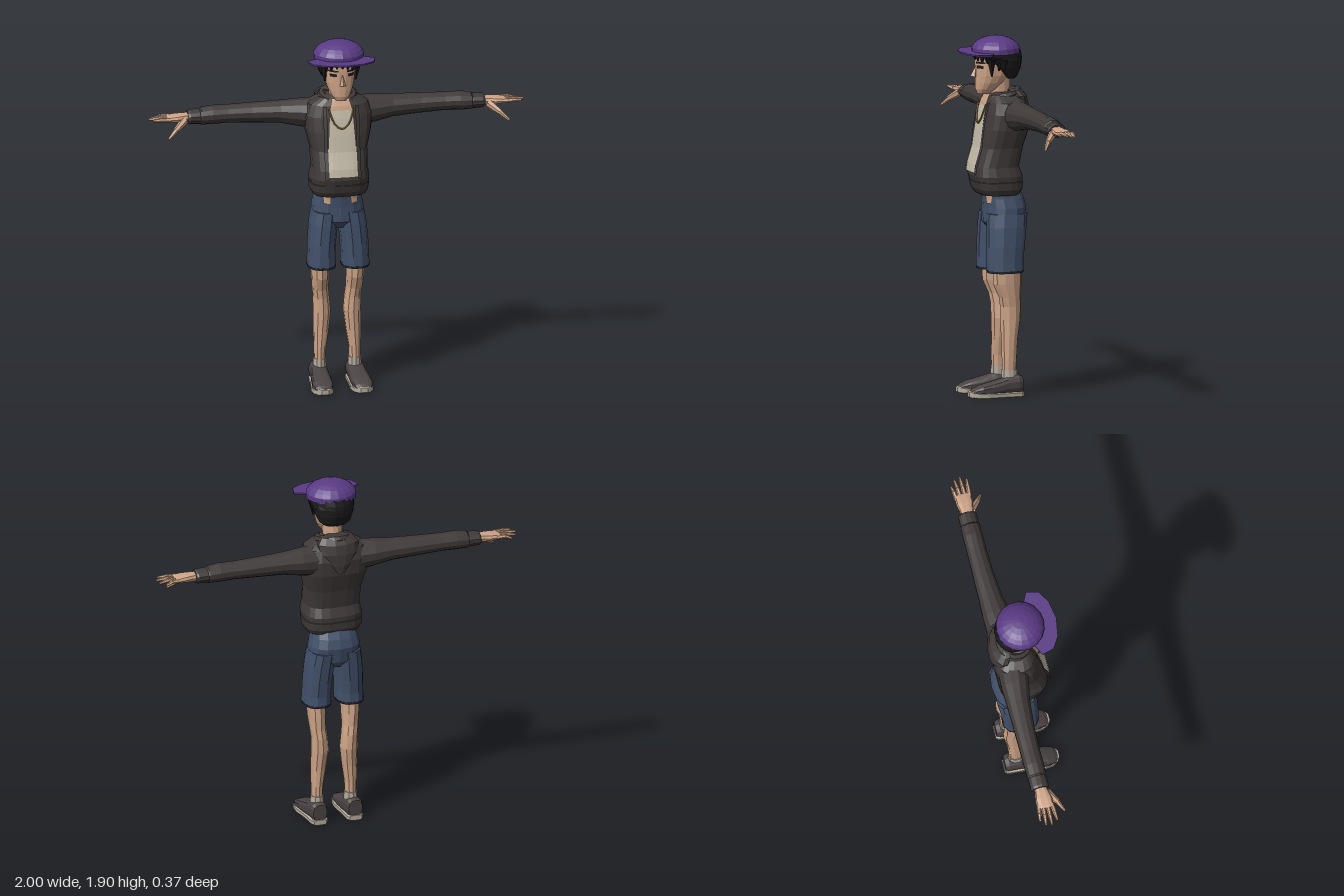
import * as THREE from 'three';

const mat = (name, color) => Object.assign(new THREE.MeshStandardMaterial({ color }), { name });
const M = {
  skin: mat('skin', 0xcda386), hair: mat('black hair', 0x1b1b1c), cap: mat('purple cap', 0x5a3a85),
  jacket: mat('charcoal jacket', 0x3f3938), shirt: mat('cream shirt', 0xc4bba8), denim: mat('blue denim', 0x42506a),
  hem: mat('dark denim', 0x262d3a), gold: mat('gold', 0x8f7028), shoe: mat('dark shoe', 0x4a4243), sole: mat('pale sole', 0xb3aa9b),
};

// Faceted mesh added to a parent
function add(parent, name, geo, material) {
  const g = geo.index ? geo.toNonIndexed() : geo;
  g.computeVertexNormals();
  const m = new THREE.Mesh(g, material);
  m.name = name;
  parent.add(m);
  return m;
}

// Closed loft of superellipse rings along an axis; ring = [t, centreA, centreB, radiusA, radiusB]
function loft(axis, rings, { seg = 12, n = 2, s = 1 } = {}) {
  const place = (t, a, b) => {
    const p = axis === 'y' ? [a, t, b] : axis === 'x' ? [t, a, b] : [a, b, t];
    return new THREE.Vector3(p[0] * s, p[1], p[2]);
  };
  const pw = v => Math.sign(v) * Math.pow(Math.abs(v), 2 / n);
  const pts = rings.map(([t, a, b, ra, rb]) => Array.from({ length: seg }, (_, i) => {
    const q = (i + 0.5) / seg * Math.PI * 2;
    return place(t, a + ra * pw(Math.cos(q)), b + rb * pw(Math.sin(q)));
  }));
  const tris = [];
  const first = rings[0], last = rings[rings.length - 1];
  const c0 = place(first[0], first[1], first[2]), c1 = place(last[0], last[1], last[2]);
  for (let i = 0; i < seg; i++) {
    const j = (i + 1) % seg;
    tris.push([c0, pts[0][i], pts[0][j]], [c1, pts[pts.length - 1][j], pts[pts.length - 1][i]]);
    for (let k = 0; k + 1 < pts.length; k++) {
      const [A, B] = [pts[k], pts[k + 1]];
      tris.push([A[i], B[i], B[j]], [A[i], B[j], A[j]]);
    }
  }
  // Turn the faces outward
  const o = pts[0][0], cr = new THREE.Vector3();
  let vol = 0;
  for (const [a, b, c] of tris) vol += cr.crossVectors(b.clone().sub(o), c.clone().sub(o)).dot(a.clone().sub(o));
  const flat = tris.flatMap(([a, b, c]) => (vol < 0 ? [a, c, b] : [a, b, c]));
  return new THREE.BufferGeometry().setFromPoints(flat);
}

// Front z of a vertical loft at (x, y)
function frontZ(rings, n, x, y) {
  let k = 0;
  while (k < rings.length - 2 && rings[k + 1][0] < y) k++;
  const f = (y - rings[k][0]) / (rings[k + 1][0] - rings[k][0]);
  const [, cx, cz, rx, rz] = rings[k].map((v, i) => v + (rings[k + 1][i] - v) * f);
  return cz + rz * Math.pow(Math.max(0, 1 - Math.pow(Math.abs((x - cx) / rx), n)), 1 / n);
}

// Thin panel lying on the front of a loft
function patch(rings, n, cx, wBottom, wTop, y0, y1, off) {
  const g = new THREE.PlaneGeometry(2, 1, 6, 8), p = g.attributes.position;
  for (let i = 0; i < p.count; i++) {
    const v = p.getY(i) + 0.5, x = cx + p.getX(i) * (wBottom + (wTop - wBottom) * v), y = y0 + (y1 - y0) * v;
    p.setXYZ(i, x, y, frontZ(rings, n, x, y) + off);
  }
  return g;
}

// Tapered rod between two points
function rod(a, b, ra, rb, sides = 6) {
  const A = new THREE.Vector3(...a), B = new THREE.Vector3(...b), d = B.clone().sub(A);
  const g = new THREE.CylinderGeometry(rb, ra, d.length(), sides);
  g.applyQuaternion(new THREE.Quaternion().setFromUnitVectors(new THREE.Vector3(0, 1, 0), d.normalize()));
  return g.translate(...A.add(B).multiplyScalar(0.5).toArray());
}

const TORSO = [[1.07, 0, -.02, .135, .1], [1.1, 0, -.02, .15, .12], [1.17, 0, -.012, .157, .132], [1.22, 0, -.005, .147, .12],
  [1.32, 0, -.03, .15, .115], [1.42, 0, -.052, .175, .122], [1.5, 0, -.062, .18, .117], [1.56, 0, -.06, .16, .1],
  [1.595, 0, -.05, .1, .075], [1.61, 0, -.05, .06, .055]];
const HEAD = [[1.6, 0, .052, .03, .033], [1.625, 0, .037, .05, .057], [1.66, 0, .018, .067, .077], [1.7, 0, .003, .079, .092],
  [1.76, 0, -.008, .085, .104], [1.83, 0, -.015, .09, .11]];
const PELVIS = [[.88, 0, -.05, .07, .07], [.92, 0, -.052, .142, .105], [1.0, 0, -.06, .136, .112], [1.05, 0, -.052, .124, .107],
  [1.1, 0, -.035, .115, .1]];

function buildHead(root) {
  const head = new THREE.Group();
  head.name = 'head';
  root.add(head);
  add(head, 'face', loft('y', HEAD, { seg: 16, n: 2.3 }), M.skin);
  add(head, 'neck', loft('y', [[1.54, 0, -.045, .06, .065], [1.6, 0, -.035, .05, .06], [1.69, 0, -.03, .052, .06]]), M.skin);
  const nose = new THREE.ConeGeometry(.02, .065, 4).scale(.8, 1, 1).rotateX(-.2);
  add(head, 'nose', nose.translate(0, 1.722, .098), M.skin);
  for (const s of [1, -1]) {
    add(head, 'eye', patch(HEAD, 2.3, s * .047, .016, .018, 1.738, 1.754, .005), M.hair);
    add(head, 'eyebrow', patch(HEAD, 2.3, s * .047, .024, .024, 1.764, 1.773, .006), M.hair);
    add(head, 'sideburn', rod([s * .088, 1.79, .035], [s * .081, 1.7, .03], .022, .005, 5), M.hair);
  }
  // Hair mass with loose locks around the hairline
  add(head, 'hair', loft('y', [[1.68, 0, -.088, .06, .03], [1.7, 0, -.078, .086, .055], [1.74, 0, -.062, .104, .088],
    [1.78, 0, -.045, .114, .11], [1.8, 0, -.028, .116, .126], [1.83, 0, -.018, .12, .128]], { seg: 16 }), M.hair);
  for (let i = 0; i < 22; i++) {
    const q = i / 22 * Math.PI * 2, back = .5 - .5 * Math.cos(q), jag = (i % 3) * .006;
    const r = .105, x = Math.sin(q) * r, z = -.02 + Math.cos(q) * .115;
    const drop = 1.782 - back * .095 - jag, pull = 1 - back * .22;
    add(head, 'hairLock', rod([x, 1.815 - back * .05, z], [x * pull, drop, -.02 + (z + .02) * pull], .018, .004, 5), M.hair);
  }
  // Cap crown and brim
  const dome = [[1.815, 0, -.016, .134, .128]];
  for (let i = 1; i <= 6; i++) {
    const a = i / 6 * 1.5;
    dome.push([1.822 + .083 * Math.sin(a), 0, -.016, .138 * Math.cos(a), .131 * Math.cos(a)]);
  }
  add(head, 'capCrown', loft('y', dome, { seg: 18 }), M.cap);
  const brim = new THREE.Shape([[-.12, .03], [-.18, .06], [-.163, .125], [-.1, .163], [0, .18], [.1, .163], [.163, .125], [.18, .06],
    [.12, .03], [.08, .08], [-.08, .08]].map(p => new THREE.Vector2(...p)));
  add(head, 'capBrim', new THREE.ExtrudeGeometry(brim, { depth: .008, bevelEnabled: false })
    .rotateX(Math.PI / 2).translate(0, 1.824, 0), M.cap);
}

function buildTorso(root) {
  add(root, 'jacketBody', loft('y', TORSO, { seg: 20, n: 3 }), M.jacket);
  add(root, 'jacketHemBand', loft('y', [[1.075, 0, -.02, .142, .108], [1.1, 0, -.02, .154, .124], [1.14, 0, -.016, .157, .13],
    [1.145, 0, -.016, .15, .122]], { seg: 20, n: 3 }), M.jacket);
  add(root, 'shirt', patch(TORSO, 3, 0, .085, .062, 1.19, 1.54, .012), M.shirt);
  add(root, 'throat', patch(TORSO, 3, 0, .062, .045, 1.54, 1.6, .012), M.skin);
  for (const s of [1, -1])
    add(root, 'jacketFrontEdge', patch(TORSO, 3, s * .086, .01, .01, 1.18, 1.56, .015), M.jacket);
  // Hood collar and folded hood on the back
  add(root, 'hoodCollar', new THREE.TorusGeometry(.082, .024, 7, 18, 5).rotateZ(Math.PI / 2 + .64)
    .rotateX(Math.PI / 2).rotateX(.2).translate(0, 1.592, -.053), M.jacket);
  add(root, 'hood', loft('y', [[1.43, 0, -.17, .015, .012], [1.48, 0, -.163, .06, .025], [1.54, 0, -.143, .105, .044],
    [1.59, 0, -.123, .115, .052], [1.62, 0, -.105, .09, .042], [1.628, 0, -.1, .06, .025]]), M.jacket);
  // Neck chain with pendant link
  const path = [-.066, -.055, -.035, 0, .035, .055, .066].map((x, i) => {
    const y = [1.55, 1.51, 1.468, 1.445, 1.468, 1.51, 1.55][i];
    return new THREE.Vector3(x, y, frontZ(TORSO, 3, x, y) + .018);
  });
  add(root, 'neckChain', new THREE.TubeGeometry(new THREE.CatmullRomCurve3(path), 28, .005, 5), M.gold);
}

function buildArm(root, s) {
  const arm = new THREE.Group();
  arm.name = s > 0 ? 'leftArm' : 'rightArm';
  root.add(arm);
  add(arm, 'sleeve', loft('x', [[.1, 1.49, -.08, .085, .085], [.2, 1.496, -.092, .074, .076], [.3, 1.503, -.1, .06, .064],
    [.45, 1.505, -.106, .053, .056], [.58, 1.506, -.107, .048, .053], [.66, 1.505, -.106, .05, .054],
    [.72, 1.502, -.106, .046, .052], [.73, 1.5, -.106, .038, .046]], { s }), M.jacket);
  add(arm, 'cuff', loft('x', [[.715, 1.5, -.106, .04, .046], [.73, 1.5, -.106, .041, .05], [.78, 1.5, -.106, .038, .05],
    [.792, 1.5, -.106, .033, .043]], { s }), M.jacket);
  add(arm, 'palm', loft('x', [[.77, 1.5, -.105, .024, .032], [.81, 1.5, -.102, .023, .036], [.85, 1.5, -.102, .021, .045],
    [.895, 1.5, -.102, .015, .045], [.905, 1.5, -.102, .01, .04]], { s, seg: 10, n: 2.6 }), M.skin);
  [[-.137, -.148, .962, 1.487], [-.114, -.123, .992, 1.494], [-.09, -.093, 1, 1.5], [-.067, -.06, .983, 1.502]].forEach(([z0, z1, x, y]) => {
    const mid = [s * (.89 + x) / 2, 1.503, (z0 + z1) / 2];
    add(arm, 'finger', rod([s * .885, 1.5, z0], mid, .0125, .0115), M.skin);
    add(arm, 'fingertip', rod(mid, [s * x, y, z1], .0115, .006), M.skin);
  });
  add(arm, 'thumbBase', rod([s * .81, 1.492, -.075], [s * .865, 1.452, -.03], .022, .015), M.skin);
  add(arm, 'thumb', rod([s * .86, 1.456, -.034], [s * .908, 1.414, -.002], .0145, .007), M.skin);
}

function buildLeg(root, s) {
  const leg = new THREE.Group();
  leg.name = s > 0 ? 'leftLeg' : 'rightLeg';
  root.add(leg);
  add(leg, 'shortsLeg', loft('y', [[.67, .09, -.038, .075, .097], [.72, .089, -.038, .073, .097], [.8, .086, -.043, .073, .101],
    [.9, .077, -.05, .074, .106], [.97, .068, -.057, .07, .108]], { s, n: 2.4 }), M.denim);
  add(leg, 'shortsHem', loft('y', [[.66, .09, -.038, .074, .096], [.672, .09, -.038, .077, .099]], { s, n: 2.4 }), M.hem);
  add(leg, 'pocketGap', patch(PELVIS, 2.4, s * .073, .016, .024, 1.025, 1.085, .006), M.skin);
  add(leg, 'bareLeg', loft('y', [[.11, .093, -.06, .029, .038], [.2, .093, -.061, .032, .041], [.3, .086, -.064, .041, .045],
    [.4, .08, -.07, .047, .055], [.48, .084, -.071, .043, .058], [.53, .09, -.064, .043, .06], [.6, .093, -.05, .046, .078],
    [.7, .095, -.048, .05, .08]], { s, seg: 10 }), M.skin);
  add(leg, 'sock', loft('y', [[.08, .094, -.062, .036, .044], [.145, .093, -.061, .034, .043]], { s, seg: 10 }), M.sole);
  // Shoe upper and sole, lofted heel to toe
  add(leg, 'shoe', loft('z', [[-.127, .098, .066, .038, .044], [-.105, .098, .068, .046, .052], [-.045, .098, .064, .047, .048],
    [-.015, .1, .056, .049, .045], [.04, .103, .048, .053, .037], [.1, .106, .041, .055, .028], [.14, .106, .035, .045, .018],
    [.158, .105, .03, .026, .01]], { s, seg: 14, n: 2.6 }), M.shoe);
  add(leg, 'shoeSole', loft('z', [[-.132, .098, .014, .034, .014], [-.115, .098, .015, .046, .015], [-.02, .1, .015, .05, .015],
    [.07, .105, .016, .06, .016], [.125, .106, .018, .054, .018], [.155, .105, .022, .036, .018], [.167, .104, .024, .02, .013]],
    { s, seg: 12, n: 5 }), M.sole);
}

export function createModel() {
  const root = new THREE.Group();
  root.name = 'youngManInCap';
  buildHead(root);
  buildTorso(root);
  add(root, 'shortsSeat', loft('y', PELVIS, { seg: 14, n: 2.4 }), M.denim);
  for (const s of [1, -1]) {
    buildArm(root, s);
    buildLeg(root, s);
  }
  return root;
}
